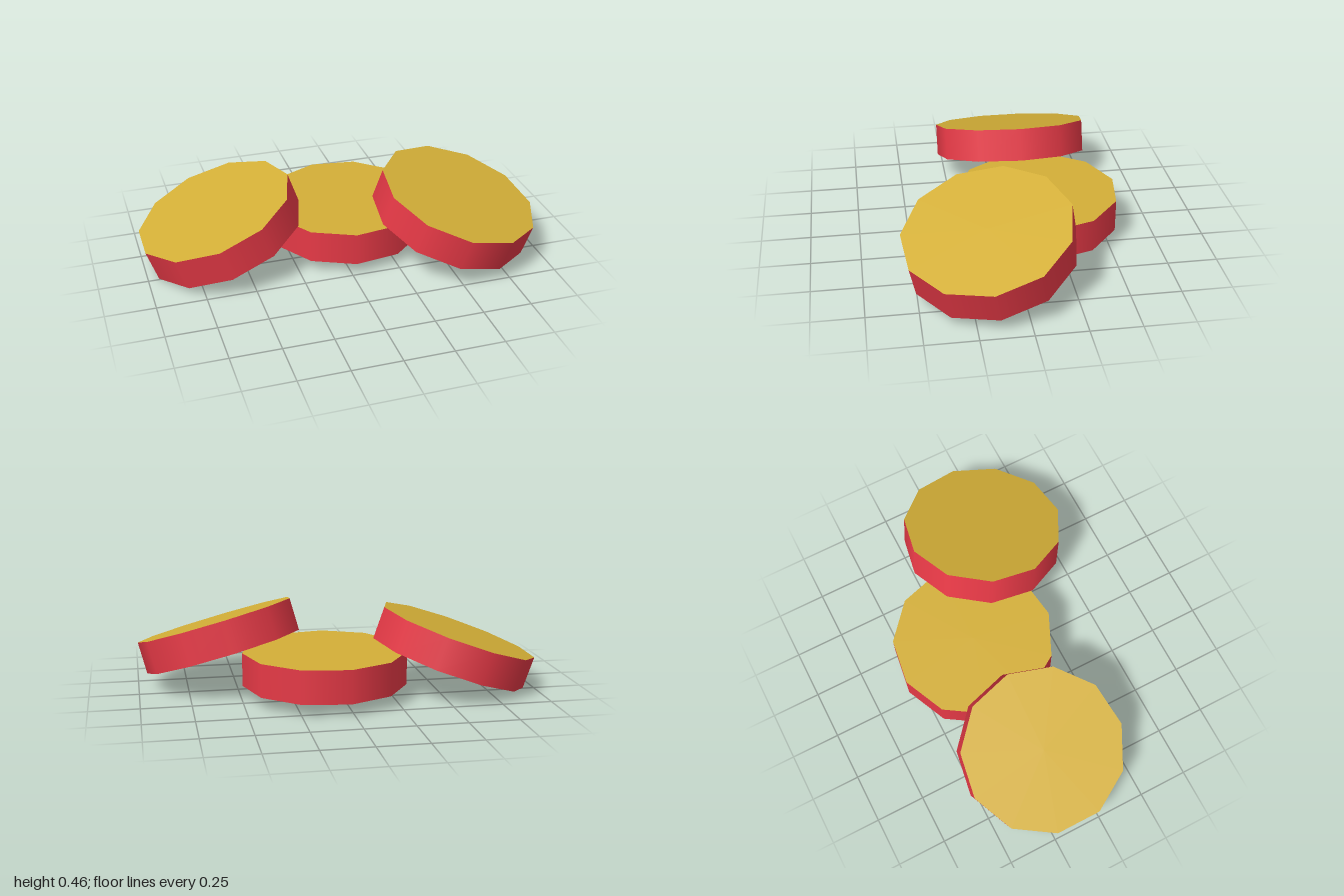
import * as THREE from 'three';

const RADIUS = 0.414;
const THICKNESS = 0.168;
const SIDES = 11;

export function createModel() {
  const red = new THREE.MeshStandardMaterial({ color: 0xe63946 });
  red.name = 'red rim';
  const gold = new THREE.MeshStandardMaterial({ color: 0xd4af37 });
  gold.name = 'gold face';

  // One shared disc: smooth red rim, flat gold faces, a corner pointing to +x
  const disc = new THREE.CylinderGeometry(RADIUS, RADIUS, THICKNESS, SIDES);
  disc.rotateY(Math.PI / 2);

  const model = new THREE.Group();
  model.name = 'discs';
  const up = new THREE.Vector3(0, 1, 0);

  // Place a disc at its centre, spun about its axis, then tilted so the axis follows "axis"
  function addDisc(name, centre, axis, spin = 0) {
    const mesh = new THREE.Mesh(disc, [red, gold, gold]);
    mesh.name = name;
    mesh.position.set(...centre);
    mesh.quaternion.setFromUnitVectors(up, new THREE.Vector3(...axis).normalize());
    mesh.rotateY(THREE.MathUtils.degToRad(spin));
    model.add(mesh);
  }

  addDisc('middleDisc', [0.079, 0.148, -0.16], [0, 1, 0]);
  addDisc('rightDisc', [-0.598, 0.212, -0.125], [-0.332, 0.943, 0]);
  addDisc('leftDisc', [0.576, 0.256, 0.147], [0.252, 0.95, 0.186], -3.7);

  return model;
}
